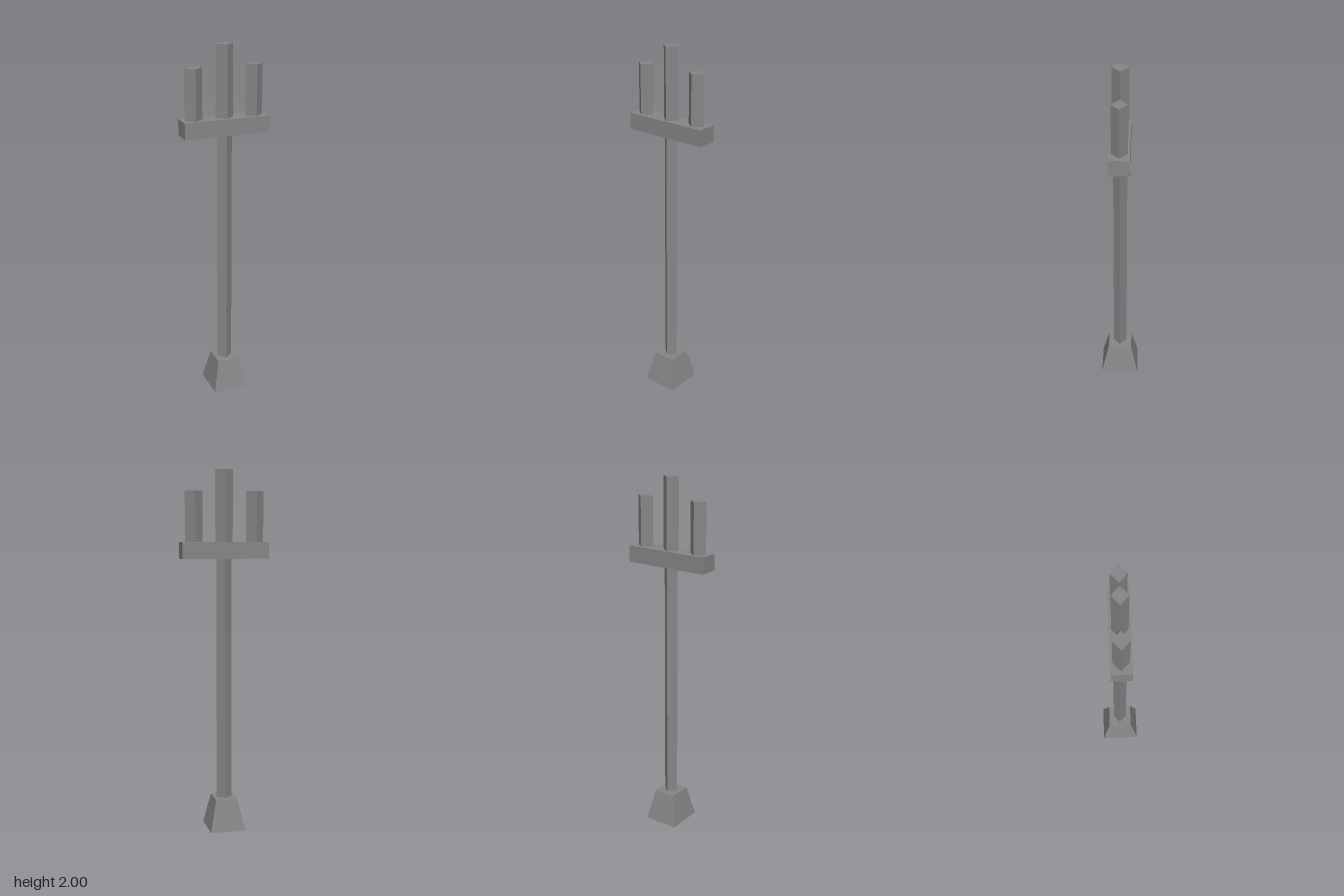
import * as THREE from 'three';

export function createModel() {
  const model = new THREE.Group();
  const stone = new THREE.MeshStandardMaterial({ color: 0x868686, flatShading: true, side: THREE.DoubleSide });
  stone.name = 'plain grey';

  const add = (name, geometry, x, y) => {
    const mesh = new THREE.Mesh(geometry, stone);
    mesh.name = name;
    mesh.position.set(x, y, 0);
    model.add(mesh);
  };

  // Four-sided column whose corners lie on the x and z axes
  const column = (name, x, bottom, top, halfX, halfZ) => {
    const geometry = new THREE.CylinderGeometry(1, 1, top - bottom, 4).scale(halfX, 1, halfZ);
    add(name, geometry, x, (bottom + top) / 2);
  };

  // Tapered foot, hollow underneath, with a flat lid
  const width = 0.197, depth = 0.215, taper = 0.625, footHeight = 0.175;
  const foot = new THREE.CylinderGeometry(taper * Math.SQRT1_2, Math.SQRT1_2, footHeight, 4, 1, true)
    .rotateY(Math.PI / 4).scale(width, 1, depth);
  add('foot', foot, 0, footHeight / 2);
  add('footLid', new THREE.PlaneGeometry(width * taper, depth * taper).rotateX(-Math.PI / 2), 0, footHeight);

  // Pole, crossbar and the three upright prongs
  column('pole', 0, footHeight, 1.52, 0.043, 0.038);
  add('crossbar', new THREE.BoxGeometry(0.48, 0.09, 0.109), 0, 1.565);
  column('centreProng', 0, 1.61, 2, 0.049, 0.043);
  column('leftProng', 0.168, 1.61, 1.885, 0.049, 0.043);
  column('rightProng', -0.173, 1.61, 1.885, 0.049, 0.043);

  // The whole stand is turned a little about its pole
  model.rotation.y = THREE.MathUtils.degToRad(20.5);
  const root = new THREE.Group();
  root.name = 'prongedStand';
  root.add(model);
  return root;
}
